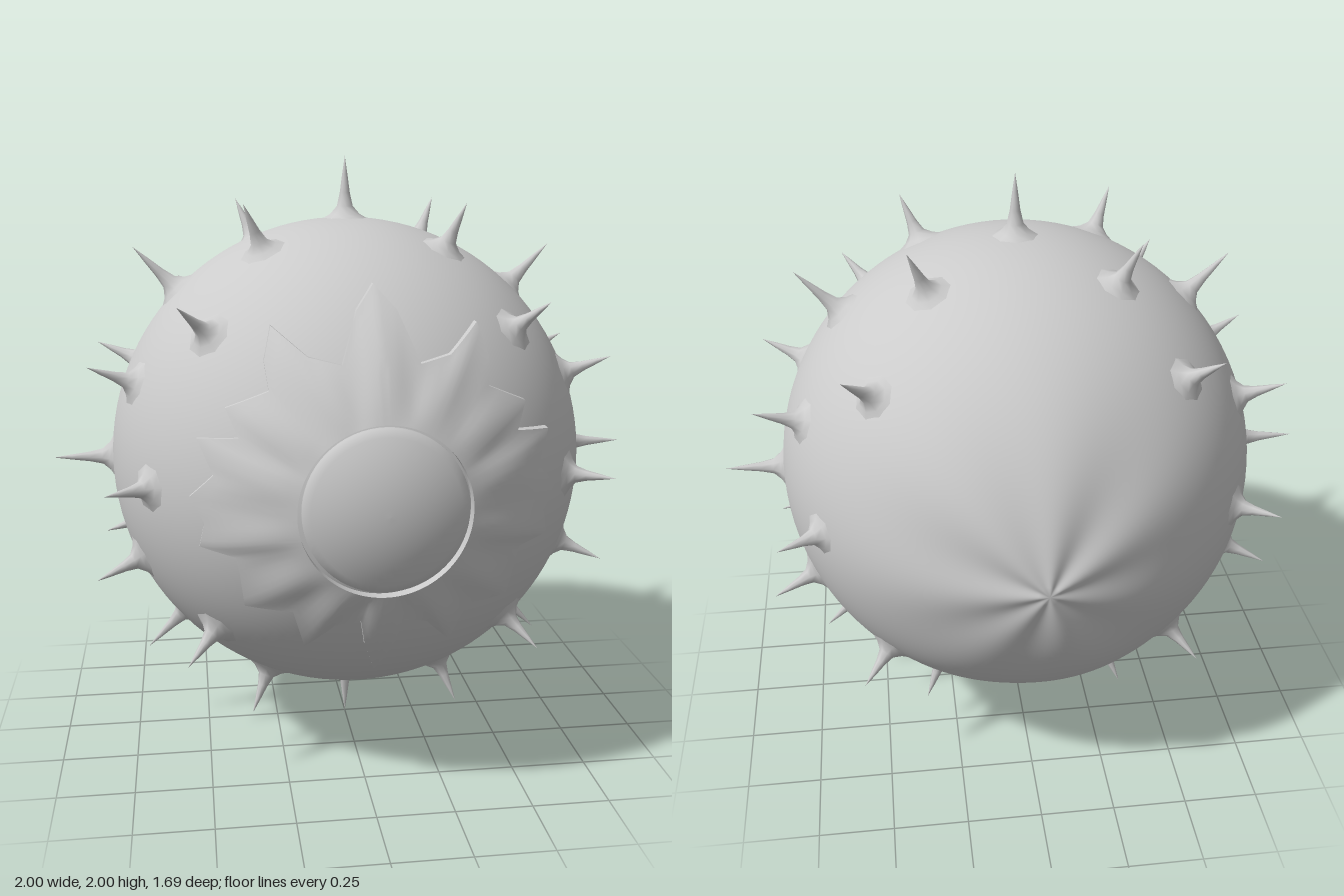
import * as THREE from 'three';
import { mergeVertices, toCreasedNormals } from 'three/addons/utils/BufferGeometryUtils.js';

const R = 0.8; // body radius
const material = new THREE.MeshStandardMaterial({ color: 0xcccccc, roughness: 0.8 });

function addMesh(parent, name, geometry) {
  const mesh = new THREE.Mesh(geometry, material);
  mesh.name = name;
  parent.add(mesh);
  return mesh;
}

// Sphere with its poles on z, drawn out to a puckered point at the back
function bodyGeometry() {
  let geo = new THREE.SphereGeometry(R, 112, 80).rotateX(Math.PI / 2);
  geo.deleteAttribute('uv');
  geo.deleteAttribute('normal');
  geo = mergeVertices(geo, 1e-5);
  const pos = geo.attributes.position;
  const v = new THREE.Vector3();
  for (let i = 0; i < pos.count; i++) {
    v.fromBufferAttribute(pos, i).normalize();
    const a = Math.acos(THREE.MathUtils.clamp(-v.z, -1, 1)); // angle from the back pole
    const phi = Math.atan2(v.y, v.x);
    const bulge = 0.045 * Math.exp(-a / 0.3);
    const fade = (a / 0.35) * Math.exp(1 - a / 0.35) * Math.max(0, 1 - a / 1.2);
    const folds = Math.cos(7 * phi + 0.6) + 0.5 * Math.cos(4 * phi + 1);
    v.multiplyScalar(R + bulge + 0.008 * fade * folds);
    pos.setXYZ(i, v.x, v.y, v.z);
  }
  geo.computeVertexNormals();
  return geo;
}

// Right half of the leafy collar's outline, from the top leaf tip to the bottom one
const HALF_OUTLINE = [
  [0, 0.63], [0.06, 0.56], [0.115, 0.415], [0.21, 0.435], [0.31, 0.515], [0.335, 0.42],
  [0.325, 0.34], [0.45, 0.285], [0.415, 0.205], [0.535, 0.19], [0.49, 0.09], [0.56, 0.015],
  [0.52, -0.06], [0.535, -0.14], [0.43, -0.155], [0.42, -0.21], [0.405, -0.325],
  [0.265, -0.325], [0.225, -0.465], [0.14, -0.37], [0.065, -0.35], [0.045, -0.45], [0, -0.58],
];

// Rings from the inner lip to the outline, wrapped on the body, with a wall at each rim
function collarGeometry() {
  const mirrored = HALF_OUTLINE.slice(1, -1).reverse().map(([x, y]) => [-x, y]);
  const corners = [...HALF_OUTLINE, ...mirrored];
  const outline = [];
  corners.forEach(([x, y], i) => {
    const [nx, ny] = corners[(i + 1) % corners.length];
    for (let k = 0; k < 4; k++) outline.push([x + (nx - x) * k / 4, y + (ny - y) * k / 4]);
  });
  const rings = [[0, 0.775], [0, 0.836]]; // [share of the way out, distance from body centre]
  for (let i = 1; i <= 8; i++) rings.push([i / 8, 0.836 - 0.018 * i / 8]);
  rings.push([1, 0.785]);

  const points = [], index = [], n = outline.length;
  rings.forEach(([t, dist], j) => {
    outline.forEach(([ox, oy], i) => {
      const outer = Math.hypot(ox, oy);
      const r = 0.258 + (outer - 0.258) * t;
      const ripple = 0.004 * Math.sin(Math.PI * t) * Math.cos(14 * Math.atan2(ox, oy));
      const x = ox / outer * r, y = oy / outer * r;
      points.push(x, y, Math.sqrt((dist + ripple) ** 2 - r * r));
      if (j === 0) return;
      const k = (i + 1) % n, a = (j - 1) * n, b = j * n;
      index.push(a + i, b + i, b + k, a + i, b + k, a + k);
    });
  });
  const geo = new THREE.BufferGeometry();
  geo.setAttribute('position', new THREE.Float32BufferAttribute(points, 3));
  geo.setIndex(index.reverse());
  return toCreasedNormals(orientOutward(geo), 0.7);
}

// Flip the winding if the surface faces -z
function orientOutward(geo) {
  geo.computeVertexNormals();
  const normals = geo.attributes.normal;
  let sum = 0;
  for (let i = 0; i < normals.count; i++) sum += normals.getZ(i);
  if (sum < 0) geo.setIndex(Array.from(geo.index.array).reverse());
  return geo;
}

// Shallow dome in the middle of the collar
function domeGeometry() {
  const profile = [[0.235, 0.72], [0.247, 0.765]];
  for (let i = 0; i <= 10; i++) {
    const r = 0.247 * (1 - i / 10);
    profile.push([r, 0.845 - 0.513 + Math.sqrt(0.513 ** 2 - r * r)]);
  }
  const geo = new THREE.LatheGeometry(profile.map(([r, h]) => new THREE.Vector2(r, h)), 64);
  return geo.rotateX(Math.PI / 2);
}

// Thin thorn with a flared foot, unit height along +y
const spikeGeometry = new THREE.LatheGeometry(
  [[0.085, -0.05], [0.05, 0.05], [0.027, 0.18], [0.017, 0.4], [0.009, 0.7], [0, 1]]
    .map(([r, h]) => new THREE.Vector2(r, h)), 8);

export function createModel() {
  const model = new THREE.Group();
  model.name = 'spikyBall';
  const ball = new THREE.Group();
  ball.name = 'ball';
  ball.position.y = 1;
  model.add(ball);

  addMesh(ball, 'body', bodyGeometry());
  addMesh(ball, 'leafCollar', collarGeometry()).position.x = 0.015;
  addMesh(ball, 'frontDome', domeGeometry()).position.x = 0.018;

  // Rings of spikes around the z axis: latitude, first angle, height; outer rings skip top and bottom
  const spikes = new THREE.Group();
  spikes.name = 'spikes';
  ball.add(spikes);
  const up = new THREE.Vector3(0, 1, 0);
  const rings = [
    [0, 0, 0.2], [16.5, 22.5, 0.165], [-16.5, 22.5, 0.165], [33, 0, 0.155], [-33, 0, 0.155],
  ];
  for (const [latitude, start, height] of rings) {
    const lat = THREE.MathUtils.degToRad(latitude);
    for (let i = 0; i < 8; i++) {
      if (Math.abs(latitude) === 33 && i % 4 === 2) continue;
      const angle = THREE.MathUtils.degToRad(start + i * 45);
      const dir = new THREE.Vector3(
        Math.cos(lat) * Math.cos(angle), Math.cos(lat) * Math.sin(angle), Math.sin(lat));
      const spike = addMesh(spikes, 'spike', spikeGeometry);
      spike.position.copy(dir).multiplyScalar(R);
      spike.quaternion.setFromUnitVectors(up, dir);
      spike.scale.set(1, height, 1);
    }
  }
  return model;
}
